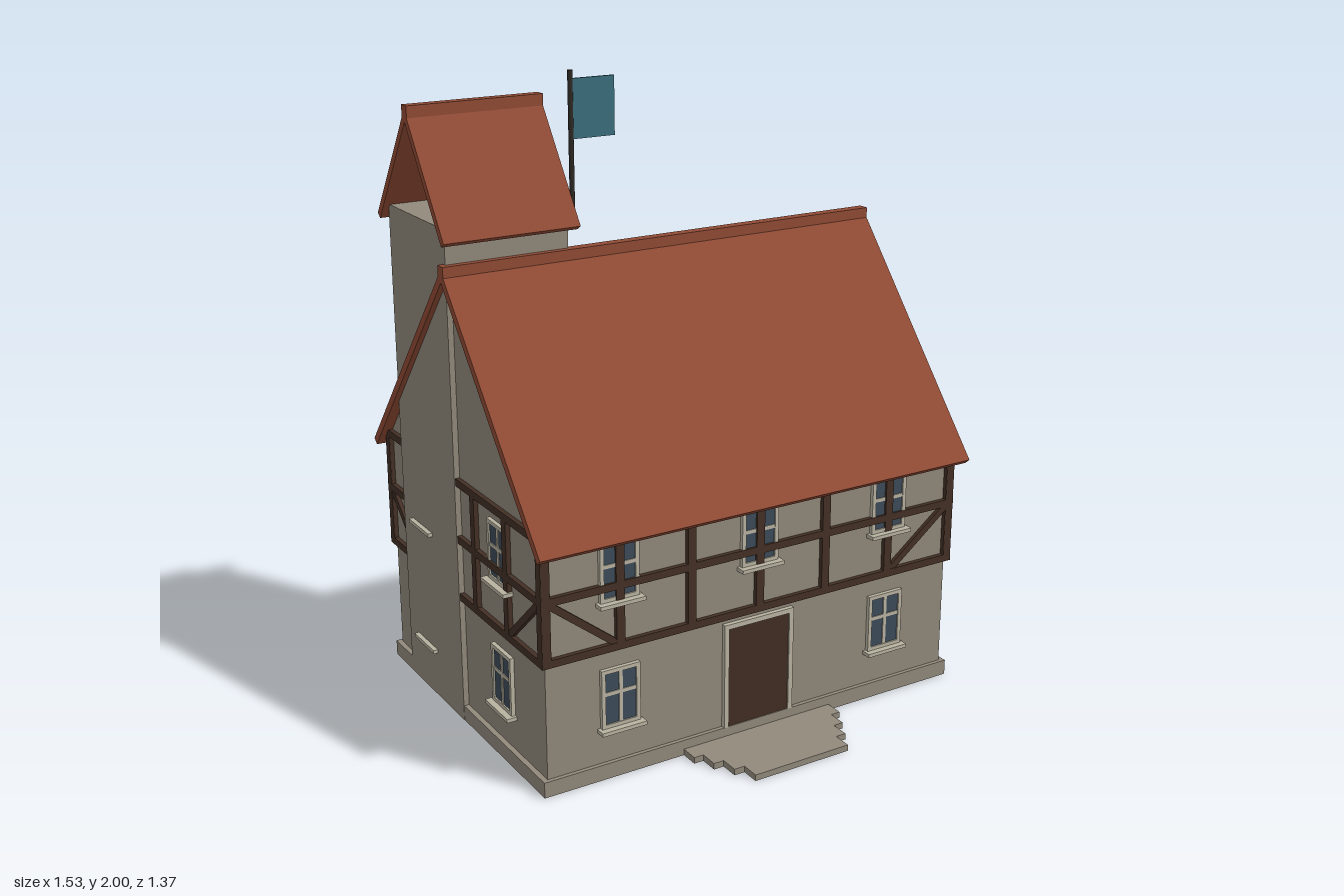
import * as THREE from 'three';

const paint = (name, color, extra = {}) => Object.assign(new THREE.MeshStandardMaterial({ color, ...extra }), { name });

export function createModel() {
  const mat = {
    wall: paint('stone plaster', 0x91897b),
    roof: paint('roof tile', 0x8f4a34),
    timber: paint('dark timber', 0x432f25),
    door: paint('door wood', 0x422d22),
    frame: paint('pale trim', 0xb8b2a0),
    glass: paint('window glass', 0x3c4a58),
    flag: paint('flag cloth', 0x3a6d7b, { side: THREE.DoubleSide }),
    pole: paint('pole metal', 0x2e2a25),
  };
  const model = new THREE.Group();
  model.name = 'timberHouse';

  const add = (parent, name, geo, material, x = 0, y = 0, z = 0) => {
    const mesh = new THREE.Mesh(geo, material);
    mesh.name = name;
    mesh.position.set(x, y, z);
    parent.add(mesh);
    return mesh;
  };
  const box = (parent, name, material, [w, h, d], [x, y, z]) =>
    add(parent, name, new THREE.BoxGeometry(w, h, d), material, x, y, z);

  // Extrude a (z, y) outline along x, centred
  const alongX = (points, length) => {
    const shape = new THREE.Shape(points.map(([a, b]) => new THREE.Vector2(a, b)));
    return new THREE.ExtrudeGeometry(shape, { depth: length, bevelEnabled: false })
      .translate(0, 0, -length / 2).rotateY(Math.PI / 2);
  };

  // Two sloping slabs with a square ridge cap
  const roof = (name, half, ridge, eave, t, length, x, z, capTop) => {
    const g = new THREE.Group();
    g.name = name;
    g.position.set(x, 0, z);
    const a = Math.atan2(ridge - eave, half);
    const ix = half - t * Math.sin(a), iy = eave - t * Math.cos(a);
    add(g, 'roofSlopes', alongX([
      [0, ridge], [-half, eave], [-ix, iy], [0, ridge - t / Math.cos(a)], [ix, iy], [half, eave],
    ], length), mat.roof);
    box(g, 'ridgeCap', mat.roof, [length, 0.036, 0.036], [0, capTop - 0.018, 0]);
    model.add(g);
  };

  const CZ = -0.0925, HW = 0.727, HD = 0.53;

  // Walls with gables, and plinth
  add(model, 'walls', alongX([
    [-HD, 0.02], [HD, 0.02], [HD, 0.81], [0, 1.435], [-HD, 0.81],
  ], HW * 2), mat.wall, 0, 0, CZ);
  box(model, 'plinth', mat.wall, [1.488, 0.05, 1.086], [0, 0.025, CZ]);

  // Tower built into the right rear side
  box(model, 'tower', mat.wall, [0.403, 1.58, 0.405], [-0.5435, 0.79, -0.2985]);

  roof('mainRoof', 0.59, 1.463, 0.768, 0.025, 1.526, 0, CZ, 1.475);
  roof('towerRoof', 0.243, 1.9, 1.547, 0.022, 0.445, -0.5425, -0.2985, 1.912);

  const addWindow = (parent, x, y) => {
    const g = new THREE.Group();
    g.name = 'window';
    g.position.set(x, y, 0);
    box(g, 'pane', mat.glass, [0.125, 0.185, 0.016], [0, 0, 0]);
    for (const s of [-1, 1]) {
      box(g, 'frameSide', mat.frame, [0.013, 0.19, 0.026], [s * 0.0585, 0, 0]);
      box(g, 'frameEnd', mat.frame, [0.13, 0.013, 0.026], [0, s * 0.0885, 0]);
    }
    box(g, 'mullion', mat.frame, [0.012, 0.18, 0.022], [0, 0, 0]);
    box(g, 'crossbar', mat.frame, [0.12, 0.012, 0.022], [0, 0.016, 0]);
    box(g, 'sill', mat.frame, [0.15, 0.012, 0.066], [0, -0.1, 0]);
    parent.add(g);
  };

  // One facade: timber frame plus windows, x along the wall and z outward
  const facade = (name, width, bays, lower, upper, angle) => {
    const g = new THREE.Group();
    g.name = name;
    const out = width > 1.2 ? HD : HW;
    g.rotation.y = angle;
    g.position.set(Math.sin(angle) * out, 0, CZ + Math.cos(angle) * out);
    const step = width / bays;
    for (let i = 0; i <= bays; i++)
      box(g, 'post', mat.timber, [0.028, 0.4, 0.03], [-width / 2 + i * step, 0.612, 0]);
    for (const y of [0.424, 0.615, 0.802])
      box(g, 'rail', mat.timber, [width + 0.03, 0.024, 0.03], [0, y, 0]);
    for (const s of [-1, 1]) {
      const dx = step - 0.02, dy = 0.175;
      const brace = box(g, 'brace', mat.timber, [Math.hypot(dx, dy), 0.022, 0.026],
        [s * (width - step) / 2, 0.519, 0]);
      brace.rotation.z = s * Math.atan2(dy, dx);
    }
    lower.forEach((x) => addWindow(g, x, 0.26));
    upper.forEach((x) => addWindow(g, x, 0.664));
    model.add(g);
    return g;
  };
  const three = [-0.485, 0, 0.485], two = [-0.265, 0.265];
  const front = facade('frontFacade', HW * 2, 6, [-0.485, 0.485], three, 0);
  facade('backFacade', HW * 2, 6, three, three, Math.PI);
  facade('leftFacade', HD * 2, 5, two, two, Math.PI / 2);
  facade('rightFacade', HD * 2, 5, two, two, -Math.PI / 2);

  // Door with trim
  box(front, 'door', mat.door, [0.224, 0.33, 0.02], [0, 0.215, 0]);
  for (const s of [-1, 1])
    box(front, 'doorJamb', mat.frame, [0.016, 0.345, 0.03], [s * 0.118, 0.2225, 0]);
  box(front, 'doorLintel', mat.frame, [0.252, 0.016, 0.03], [0, 0.387, 0]);

  // Flat entrance slabs narrowing outward
  [0.27, 0.238, 0.204, 0.169].forEach((half, i) =>
    box(model, 'entranceSlab', mat.wall, [half * 2, 0.02, 0.06], [0, 0.01, 0.48 + i * 0.06]));

  // Flagpole beside the tower
  add(model, 'flagpole', new THREE.CylinderGeometry(0.008, 0.008, 0.42, 10), mat.pole, -0.307, 1.79, -0.13);
  box(model, 'flag', mat.flag, [0.142, 0.18, 0.008], [-0.231, 1.885, -0.13]);

  return model;
}
